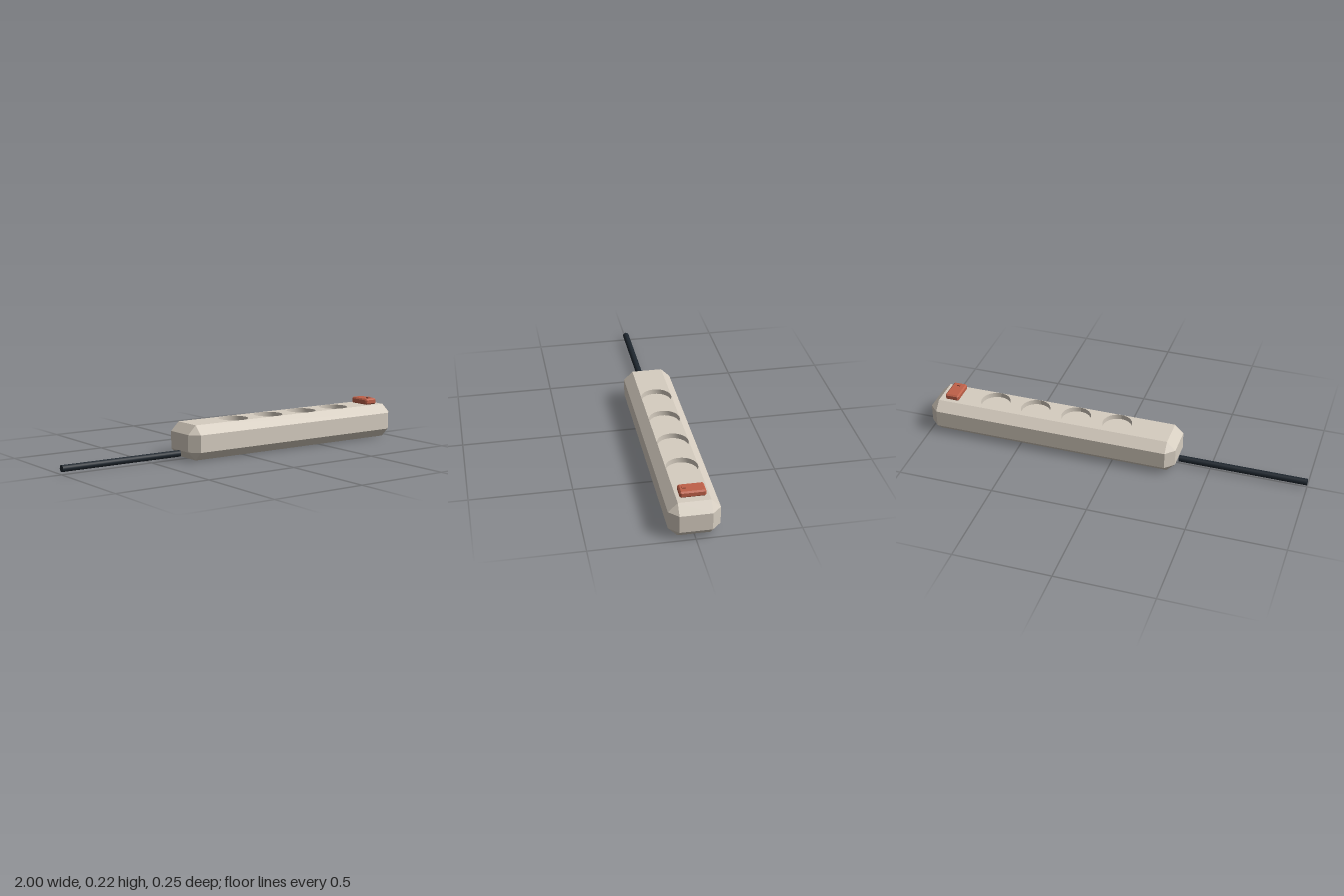
import * as THREE from 'three';

const bodyMat = new THREE.MeshStandardMaterial({ color: 0xd6cdc0 });
bodyMat.name = 'warm grey plastic';
const switchMat = new THREE.MeshStandardMaterial({ color: 0xbf6149 });
switchMat.name = 'brick red plastic';
const cableMat = new THREE.MeshStandardMaterial({ color: 0x1e262e });
cableMat.name = 'dark cable rubber';

// Box standing on y = 0 with every edge cut by c, lofted from four eight-point rings
function chamferedBox(w, h, d, c, openTop = false) {
  const ring = (y, X, Z) => {
    const x = w / 2 - c, z = d / 2 - c;
    return [[X, z], [x, Z], [-x, Z], [-X, z], [-X, -z], [-x, -Z], [x, -Z], [X, -z]]
      .map(([px, pz]) => new THREE.Vector3(px, y, pz));
  };
  const inner = [w / 2 - c, d / 2 - c], outer = [w / 2, d / 2];
  const rings = [ring(0, ...inner), ring(c, ...outer), ring(h - c, ...outer), ring(h, ...inner)];
  const points = [];
  const tri = (p, q, r) => {
    if (new THREE.Triangle(p, q, r).getArea() > 1e-9) points.push(p, q, r);
  };
  const bottom = new THREE.Vector3(0, 0, 0), top = new THREE.Vector3(0, h, 0);
  for (let j = 0; j < 8; j++) {
    const k = (j + 1) % 8;
    for (let i = 0; i < 3; i++) {
      const a = rings[i], b = rings[i + 1];
      tri(a[j], b[j], b[k]);
      tri(a[j], b[k], a[k]);
    }
    tri(bottom, rings[0][j], rings[0][k]);
    if (!openTop) tri(top, rings[3][k], rings[3][j]);
  }
  const geometry = new THREE.BufferGeometry().setFromPoints(points);
  geometry.computeVertexNormals();
  return geometry;
}

export function createModel() {
  const model = new THREE.Group();
  model.name = 'powerStrip';
  const add = (name, geometry, material, x, y, z, parent = model) => {
    const mesh = new THREE.Mesh(geometry, material);
    mesh.name = name;
    mesh.position.set(x, y, z);
    parent.add(mesh);
    return mesh;
  };

  // Housing
  const length = 1.334, height = 0.178, depth = 0.245, cut = 0.045;
  const centreX = 1 - length / 2;
  add('housing', chamferedBox(length, height, depth, cut, true), bodyMat, centreX, 0, 0);

  // Top panel with round openings
  const socketXs = [0, 1, 2, 3].map((i) => -0.003 + i * 0.2225);
  const radius = 0.077, recess = 0.026;
  const x = length / 2 - cut, z = depth / 2 - cut;
  const panel = new THREE.Shape([[-x, -z], [x, -z], [x, z], [-x, z]].map((p) => new THREE.Vector2(...p)));
  for (const sx of socketXs) {
    panel.holes.push(new THREE.Path().absarc(sx - centreX, 0, radius, 0, Math.PI * 2, true));
  }
  add('topPanel', new THREE.ShapeGeometry(panel, 16).rotateX(-Math.PI / 2), bodyMat, centreX, height, 0);

  // Recessed sockets: inward-facing wall and floor
  const wall = new THREE.CylinderGeometry(radius, radius, recess, 32, 1, true);
  wall.setIndex(Array.from(wall.index.array).reverse());
  wall.computeVertexNormals();
  const floor = new THREE.CircleGeometry(radius, 32).rotateX(-Math.PI / 2);
  socketXs.forEach((sx, i) => {
    const socket = new THREE.Group();
    socket.name = `socket${i + 1}`;
    socket.position.set(sx, height, 0);
    add('socketWall', wall, bodyMat, 0, -recess / 2, 0, socket);
    add('socketFloor', floor, bodyMat, 0, -recess, 0, socket);
    model.add(socket);
  });

  // Rocker switch with a small raised mark
  const rocker = new THREE.Group();
  rocker.name = 'rockerSwitch';
  rocker.position.set(0.887, height, 0);
  add('switchBase', chamferedBox(0.074, 0.032, 0.124, 0.007), switchMat, 0, 0, 0, rocker);
  add('switchMark', new THREE.BoxGeometry(0.018, 0.009, 0.018), switchMat, 0, 0.0345, 0.037, rocker);
  model.add(rocker);

  // Power cable leaving the low left end
  const cableLength = 0.664;
  const cable = new THREE.CylinderGeometry(0.017, 0.017, cableLength, 12).rotateZ(Math.PI / 2);
  add('powerCable', cable, cableMat, -1 + cableLength / 2, 0.03, 0);

  return model;
}
